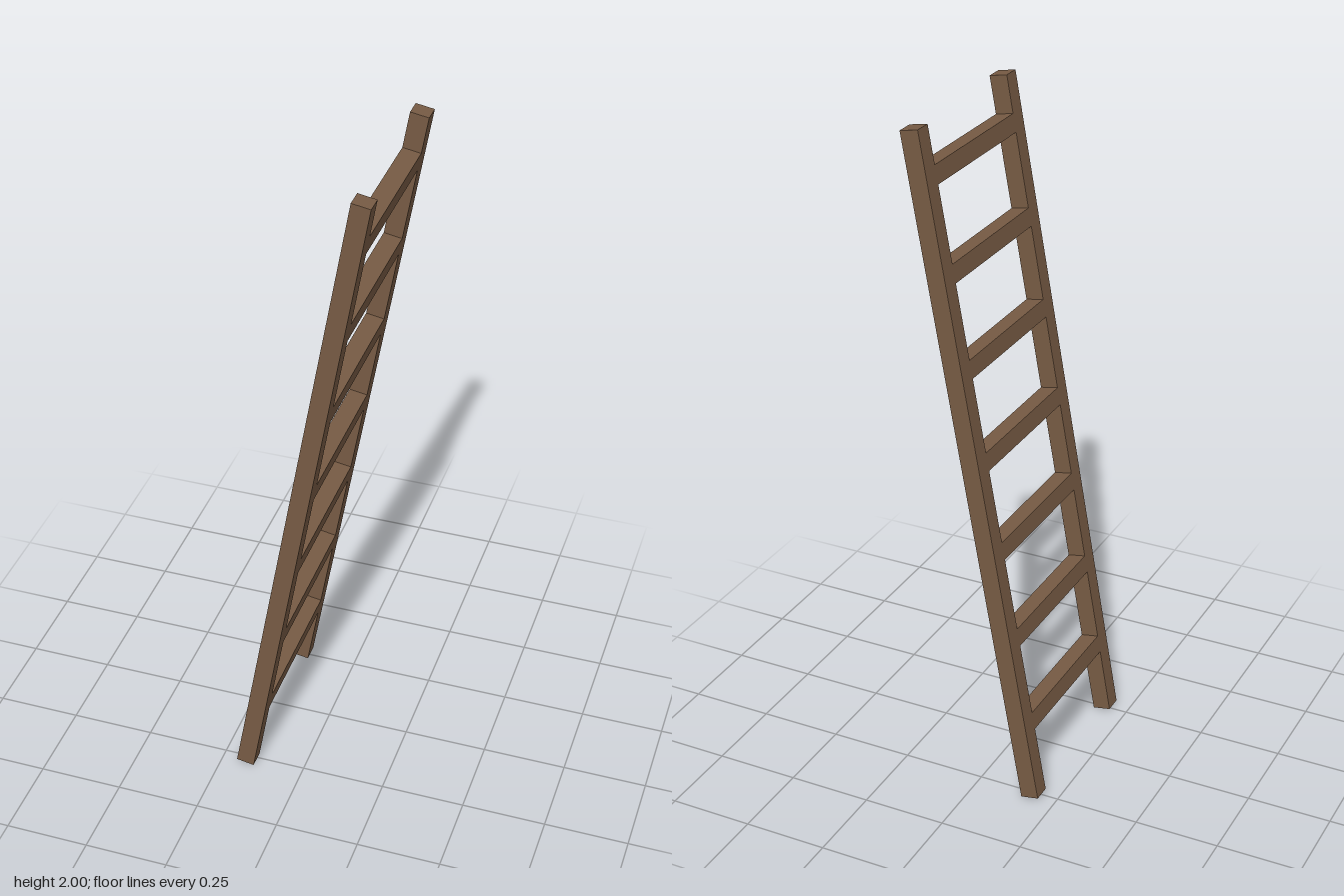
import * as THREE from 'three';

export function createModel() {
  const wood = new THREE.MeshStandardMaterial({ name: 'brown wood', color: 0x775b44 });
  const model = new THREE.Group();
  model.name = 'ladder';

  const thick = 0.054;      // square section of rails and rungs
  const railZ = 0.2575;     // rail centre line
  const railLength = 2.021;

  // Leaning frame holding all the timber
  const frame = new THREE.Group();
  frame.name = 'leaningFrame';
  frame.position.y = 1;
  frame.rotation.z = -THREE.MathUtils.degToRad(10);
  model.add(frame);

  const beam = (name, height, depth, y, z) => {
    const mesh = new THREE.Mesh(new THREE.BoxGeometry(thick, height, depth), wood);
    mesh.name = name;
    mesh.position.set(0, y, z);
    frame.add(mesh);
  };

  // Side rails
  beam('frontRail', railLength, thick, 0, railZ);
  beam('backRail', railLength, thick, 0, -railZ);

  // Seven evenly spaced rungs, flush with the rails
  const rungLength = 2 * railZ - thick;
  for (let i = 0; i < 7; i++) beam(`rung${i + 1}`, thick, rungLength, -0.779 + i * 0.2754, 0);

  return model;
}
